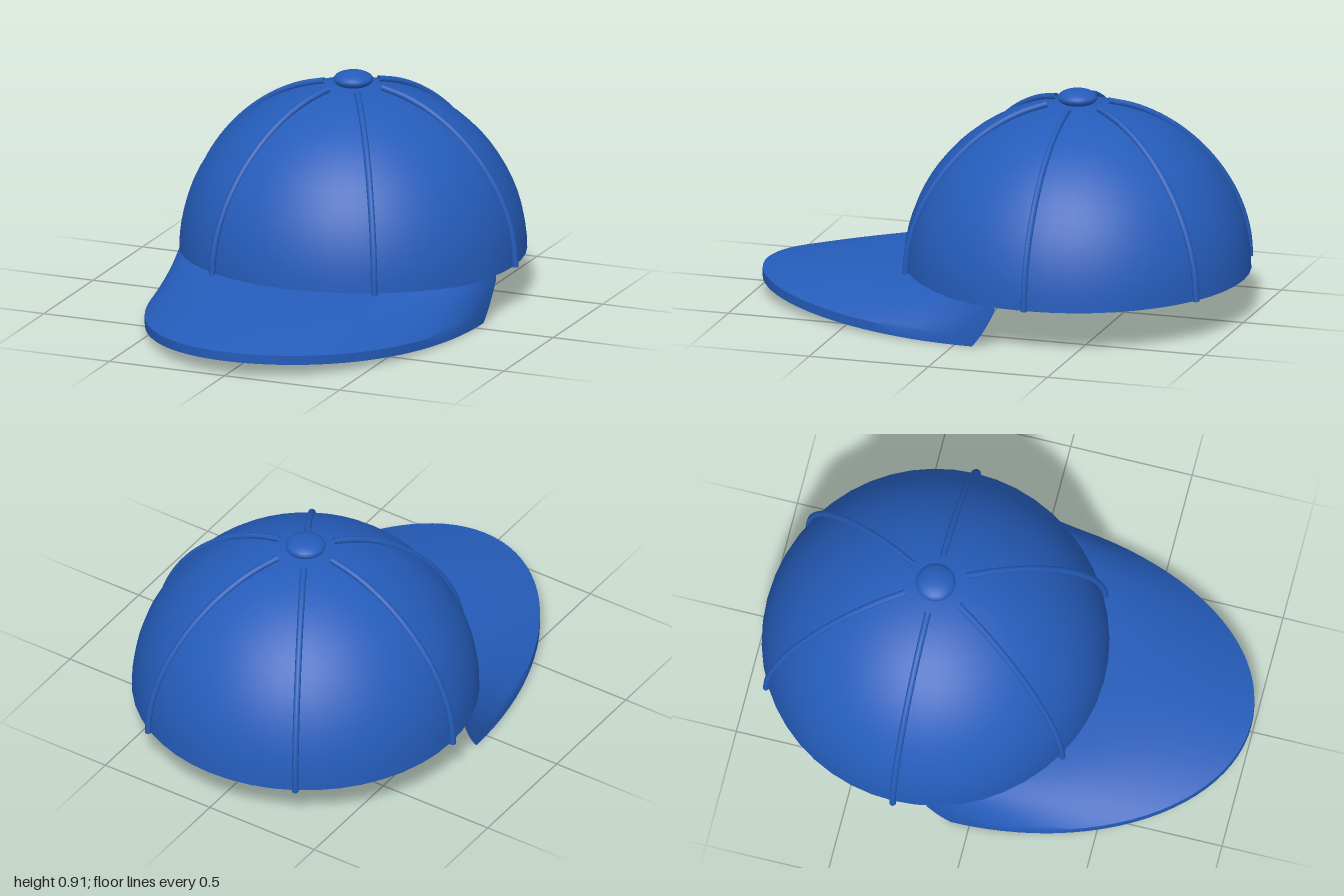
import * as THREE from 'three';
import { toCreasedNormals } from 'three/addons/utils/BufferGeometryUtils.js';

const BASE_Y = 0.18, CENTER_Z = -0.305, RADIUS = 0.695, HEIGHT = 0.68;

// Brim lofted from the crown's edge out to a drooping half ellipse
function brimGeometry() {
  const rows = 48, steps = 10, ring = 2 * (steps + 1);
  const positions = [], index = [];
  for (let i = 0; i <= rows; i++) {
    const s = i / rows;
    const a = THREE.MathUtils.degToRad(11 + 158 * s), b = Math.PI * s;
    const front = Math.sin(b), side = Math.cos(b) ** 2;
    const inner = new THREE.Vector3(0.69 * Math.cos(a), 0.178 + 0.02 * front, CENTER_Z + 0.69 * Math.sin(a));
    const outer = new THREE.Vector3(0.665 * Math.cos(b), 0.065 - 0.06 * side, -0.075 + 1.07 * front);
    const point = (t, isTop) => {
      const p = inner.clone().lerp(outer, t);
      const bulge = (0.014 * (1 - side) - 0.012 * side) * Math.sin(Math.PI * t);
      p.y += bulge + (isTop ? 0.02 * t + 0.018 * t : -0.018 * (1 - t));
      positions.push(p.x, p.y, p.z);
    };
    for (let j = 0; j <= steps; j++) point(j / steps, true);
    for (let j = steps; j >= 0; j--) point(j / steps, false);
  }
  for (let i = 0; i < rows; i++) {
    for (let j = 0; j < ring; j++) {
      const k = (j + 1) % ring;
      const p = i * ring + j, q = i * ring + k;
      index.push(p, p + ring, q, q, p + ring, q + ring);
    }
  }
  // End caps join the top edge to the bottom edge
  const last = rows * ring;
  for (let j = 0; j < steps; j++) {
    const m = ring - 1 - j;
    index.push(j, j + 1, m, j + 1, m - 1, m);
    index.push(last + j, last + m, last + j + 1, last + j + 1, last + m, last + m - 1);
  }
  const geometry = new THREE.BufferGeometry();
  geometry.setAttribute('position', new THREE.Float32BufferAttribute(positions, 3));
  geometry.setIndex(index);
  return toCreasedNormals(geometry, 0.7);
}

export function createModel() {
  const cap = new THREE.Group();
  cap.name = 'cap';
  const blue = new THREE.MeshStandardMaterial({ color: 0x255cba, side: THREE.DoubleSide });
  blue.name = 'blue cloth';

  const add = (name, geometry, parent = cap) => {
    const mesh = new THREE.Mesh(geometry, blue);
    mesh.name = name;
    parent.add(mesh);
    return mesh;
  };

  // Thin hollow crown: inner wall up, outer wall down
  const crownProfile = [];
  const arc = (r, h, from, to) => {
    for (let i = 0; i <= 20; i++) {
      const e = (from + (to - from) * i / 20) * Math.PI / 2;
      crownProfile.push(new THREE.Vector2(Math.max(0, r * Math.cos(e)), h * Math.sin(e)));
    }
  };
  arc(RADIUS - 0.012, HEIGHT - 0.012, 1, 0);
  arc(RADIUS, HEIGHT, 0, 1);
  const crown = add('crown', toCreasedNormals(new THREE.LatheGeometry(crownProfile, 48), 0.7));
  crown.position.set(0, BASE_Y, CENTER_Z);

  // Six raised seams running up the crown
  const seams = new THREE.Group();
  seams.name = 'seams';
  seams.position.set(0, BASE_Y, CENTER_Z);
  cap.add(seams);
  const seamPoints = [];
  for (let i = 0; i <= 10; i++) {
    const t = i / 10, e = t * THREE.MathUtils.degToRad(79.7);
    const lift = 0.01 - 0.01 * Math.sin(Math.PI * t) ** 2;
    seamPoints.push(new THREE.Vector3((RADIUS + lift) * Math.cos(e), (HEIGHT + lift) * Math.sin(e), 0));
  }
  const seamGeometry = new THREE.TubeGeometry(new THREE.CatmullRomCurve3(seamPoints), 30, 0.013, 8);
  for (let i = 0; i < 6; i++) add('seam', seamGeometry, seams).rotation.y = i * Math.PI / 3;

  // Button on top
  const button = add('button', new THREE.SphereGeometry(0.08, 24, 16));
  button.scale.y = 0.42;
  button.position.set(0, 0.88, CENTER_Z);

  add('brim', brimGeometry());
  return cap;
}
